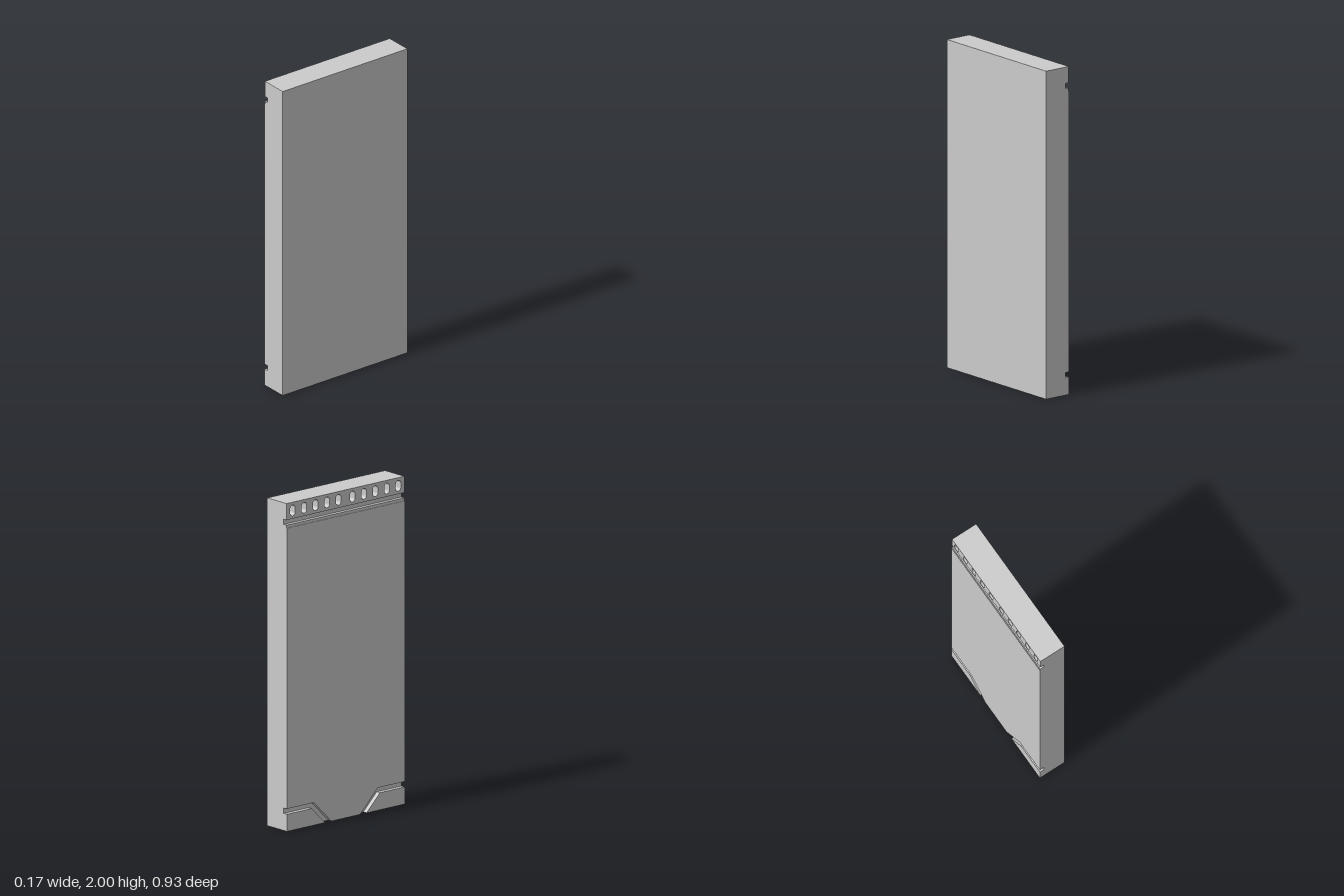
import * as THREE from 'three';

const W = 0.463;        // half width along z
const FACE = 0.0875;    // half thickness along x
const STEP = 0.084;     // slightly recessed upper band
const GROOVE = 0.059;   // groove floor
const SLOT = 0.035;     // slot floor

export function createModel() {
  const group = new THREE.Group();
  group.name = 'panelBlock';
  const mat = new THREE.MeshStandardMaterial({ color: 0xcccccc, flatShading: true });

  // outline given as [z, y]; layer spans x = -outer .. -inner
  const layer = (name, pts, inner, outer, holes = []) => {
    const shape = new THREE.Shape(pts.map(([z, y]) => new THREE.Vector2(z, y)));
    shape.holes.push(...holes);
    const geo = new THREE.ExtrudeGeometry(shape, { depth: outer - inner, bevelEnabled: false, curveSegments: 8 });
    geo.rotateY(-Math.PI / 2);
    geo.translate(-inner, 0, 0);
    const mesh = new THREE.Mesh(geo, mat);
    mesh.name = name;
    group.add(mesh);
  };
  const rect = (y0, y1) => [[-W, y0], [W, y0], [W, y1], [-W, y1]];

  // ten upright rounded slots in two groups of five
  const slots = [];
  const r = 0.02, half = 0.013, cy = 1.95;
  for (const side of [-1, 1]) {
    for (let i = 0; i < 5; i++) {
      const z = side * (0.055 + i * 0.09);
      const slot = new THREE.Path();
      slot.absarc(z, cy + half, r, 0, Math.PI, false);
      slot.absarc(z, cy - half, r, Math.PI, Math.PI * 2, false);
      slot.closePath();
      slots.push(slot);
    }
  }

  // solid core
  const core = new THREE.Mesh(new THREE.BoxGeometry(FACE + SLOT, 2, 2 * W), mat);
  core.name = 'core';
  core.position.set((FACE - SLOT) / 2, 1, 0);
  group.add(core);

  // groove floor layer and the slotted strip above the top groove
  layer('grooveBase', rect(0, 2), SLOT, GROOVE, slots);
  layer('slottedStrip', rect(1.9, 2), GROOVE, STEP, slots);

  // main panel, tapering at 45 degrees to the bottom edge
  const panel = (top) => [
    [-0.113, 0], [0.113, 0], [0.251, 0.138], [W, 0.138],
    [W, top], [-W, top], [-W, 0.138], [-0.251, 0.138],
  ];
  layer('mainPanel', panel(1.868), GROOVE, STEP);
  layer('mainPanelFace', panel(1.85), STEP, FACE);

  // lower corner plates, separated from the panel by the cranked groove
  for (const s of [-1, 1]) {
    layer(s < 0 ? 'backCornerPlate' : 'frontCornerPlate',
      [[s * W, 0], [s * 0.163, 0], [s * 0.268, 0.105], [s * W, 0.105]], GROOVE, FACE);
  }
  return group;
}
